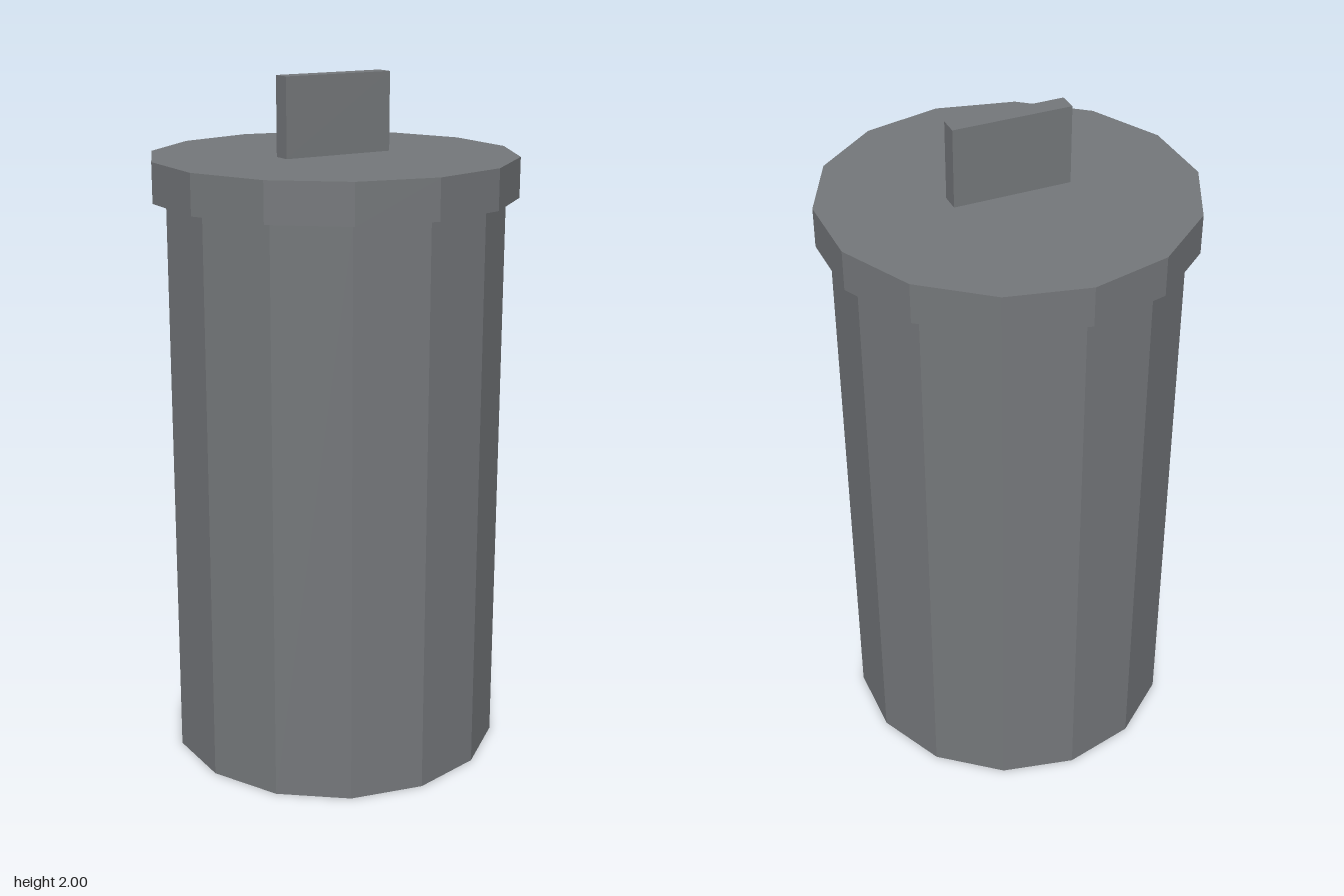
import * as THREE from 'three';

export function createModel() {
  const model = new THREE.Group();
  model.name = 'trashCan';

  const metal = new THREE.MeshStandardMaterial({ color: 0x74777a, flatShading: true });
  metal.name = 'grey metal';

  const SIDES = 14;
  const BODY_TOP = 1.66, LID_TOP = 1.775, HANDLE_TOP = 2;

  // Places a geometry of the given height so it spans bottom..top
  const addPart = (name, geometry, bottom, top) => {
    const mesh = new THREE.Mesh(geometry, metal);
    mesh.name = name;
    mesh.position.y = (bottom + top) / 2;
    model.add(mesh);
  };
  const drum = (radius, height) => new THREE.CylinderGeometry(radius, radius, height, SIDES);

  // Straight-sided can
  addPart('body', drum(0.489, BODY_TOP), 0, BODY_TOP);

  // Overhanging flat lid
  addPart('lid', drum(0.527, LID_TOP - BODY_TOP), BODY_TOP, LID_TOP);

  // Upright plate handle
  addPart('handle', new THREE.BoxGeometry(0.34, HANDLE_TOP - LID_TOP, 0.055), LID_TOP, HANDLE_TOP);

  return model;
}
